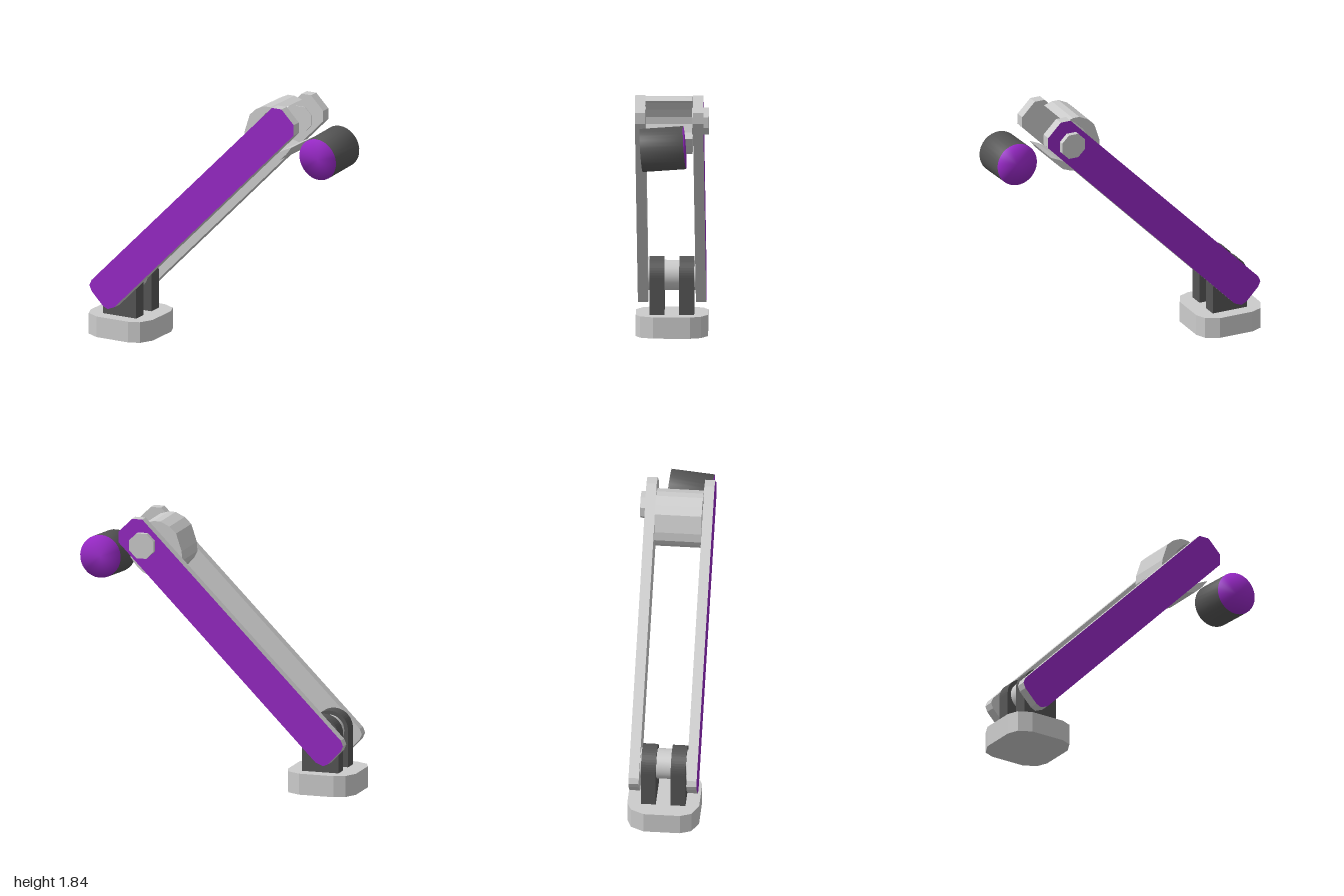
import * as THREE from 'three';
import { mergeVertices } from 'three/addons/utils/BufferGeometryUtils.js';

const grey = new THREE.MeshStandardMaterial({ color: 0xcccccc, flatShading: true });
const smoothGrey = new THREE.MeshStandardMaterial({ color: 0xcccccc });
const dark = new THREE.MeshStandardMaterial({ color: 0x555555 });
const purple = new THREE.MeshStandardMaterial({ color: 0x9628c4 });

const MID_Z = 0.011; // symmetry plane of the base, hinge and arms
const HINGE = [-0.752, 0.403];

const shapeOf = (points) => new THREE.Shape(points.map(([x, y]) => new THREE.Vector2(x, y)));

// Extrude a front-view outline between two z values
function slab(shape, z0, z1, curveSegments = 12) {
  const geo = new THREE.ExtrudeGeometry(shape, { depth: z1 - z0, bevelEnabled: false, curveSegments });
  return geo.translate(0, 0, z0);
}

// Cylinder along z, with the seam turned by `turn`
function rod(radius, z0, z1, x, y, sides, turn = 0) {
  const geo = new THREE.CylinderGeometry(radius, radius, z1 - z0, sides);
  return geo.rotateY(turn).rotateX(Math.PI / 2).translate(x, y, (z0 + z1) / 2);
}

export function createModel() {
  const model = new THREE.Group();
  const add = (name, geometry, material) => {
    const mesh = new THREE.Mesh(geometry, material);
    mesh.name = name;
    model.add(mesh);
    return mesh;
  };

  // Base: square block whose corners are cut in two steps
  const h = 0.246, corner = [[h, 0.125], [0.215, 0.2], [0.125, h]];
  const outline = [];
  for (let i = 0; i < 4; i++) {
    const c = Math.round(Math.cos(i * Math.PI / 2)), s = Math.round(Math.sin(i * Math.PI / 2));
    for (const [x, y] of corner) outline.push([x * c - y * s, x * s + y * c]);
  }
  const base = slab(shapeOf(outline), 0, 0.147).rotateX(-Math.PI / 2);
  add('base', base.translate(-0.754, 0, MID_Z), grey);

  // Two round-topped hinge lugs and the pin through them
  const lug = new THREE.Shape();
  lug.moveTo(HINGE[0] - 0.131, 0.14);
  lug.lineTo(HINGE[0] + 0.131, 0.14);
  lug.lineTo(HINGE[0] + 0.131, HINGE[1]);
  lug.absarc(HINGE[0], HINGE[1], 0.131, 0, Math.PI, false);
  lug.closePath();
  add('frontLug', slab(lug, 0.062, 0.164), dark);
  add('rearLug', slab(lug, -0.142, -0.04), dark);
  add('hingePin', rod(0.104, -0.153, 0.176, ...HINGE, 32), smoothGrey);

  // Two slanted arm plates, coloured on the outer face only
  const arm = shapeOf([
    [-0.928, 0.396], [-0.944, 0.358], [-0.928, 0.32], [-0.837, 0.225], [-0.8, 0.208], [-0.746, 0.23],
    [0.676, 1.668], [0.676, 1.743], [0.58, 1.84], [0.505, 1.84],
  ]);
  for (const [name, z0, z1, front] of [['frontArm', 0.174, 0.244, true], ['rearArm', -0.223, -0.152, false]]) {
    const geo = slab(arm, z0, z1);
    const caps = geo.groups[0].count, total = geo.attributes.position.count;
    geo.clearGroups();
    geo.addGroup(0, caps / 2, front ? 0 : 1);
    geo.addGroup(caps / 2, caps / 2, front ? 1 : 0);
    geo.addGroup(caps, total - caps, 0);
    add(name, geo, [grey, purple]);
  }

  // Octagonal bolt through the rear arm
  add('armBolt', rod(0.094, -0.259, -0.145, 0.5, 1.662, 8, Math.PI / 8), grey);

  // Crescent-shaped cradle between the arm tops, open towards the lamp
  const cradle = shapeOf([
    [0.51, 1.8], [0.45, 1.818], [0.4, 1.818], [0.335, 1.787], [0.287, 1.742], [0.247, 1.62], [0.243, 1.555],
    [0.265, 1.51], [0.31, 1.46], [0.375, 1.431], [0.46, 1.428], [0.525, 1.453], [0.575, 1.5], [0.618, 1.556],
    [0.56, 1.53], [0.49, 1.492], [0.42, 1.51], [0.365, 1.56], [0.34, 1.615], [0.342, 1.665],
    [0.37, 1.722], [0.415, 1.772], [0.465, 1.8],
  ]);
  add('cradle', slab(cradle, -0.147, 0.174), grey);

  // Free lamp drum: smooth-shaded cylinder with coloured ends, slightly tilted
  let drum = new THREE.CylinderGeometry(0.148, 0.148, 0.297, 32);
  drum.deleteAttribute('normal');
  drum.deleteAttribute('uv');
  drum = mergeVertices(drum);
  drum.computeVertexNormals();
  const lamp = add('lampDrum', drum, [dark, purple, purple]);
  const axis = new THREE.Vector3(-0.01, -0.022, 0.295).normalize();
  lamp.quaternion.setFromUnitVectors(new THREE.Vector3(0, 1, 0), axis);
  lamp.position.set(0.845, 1.521, 0.05);

  return model;
}
